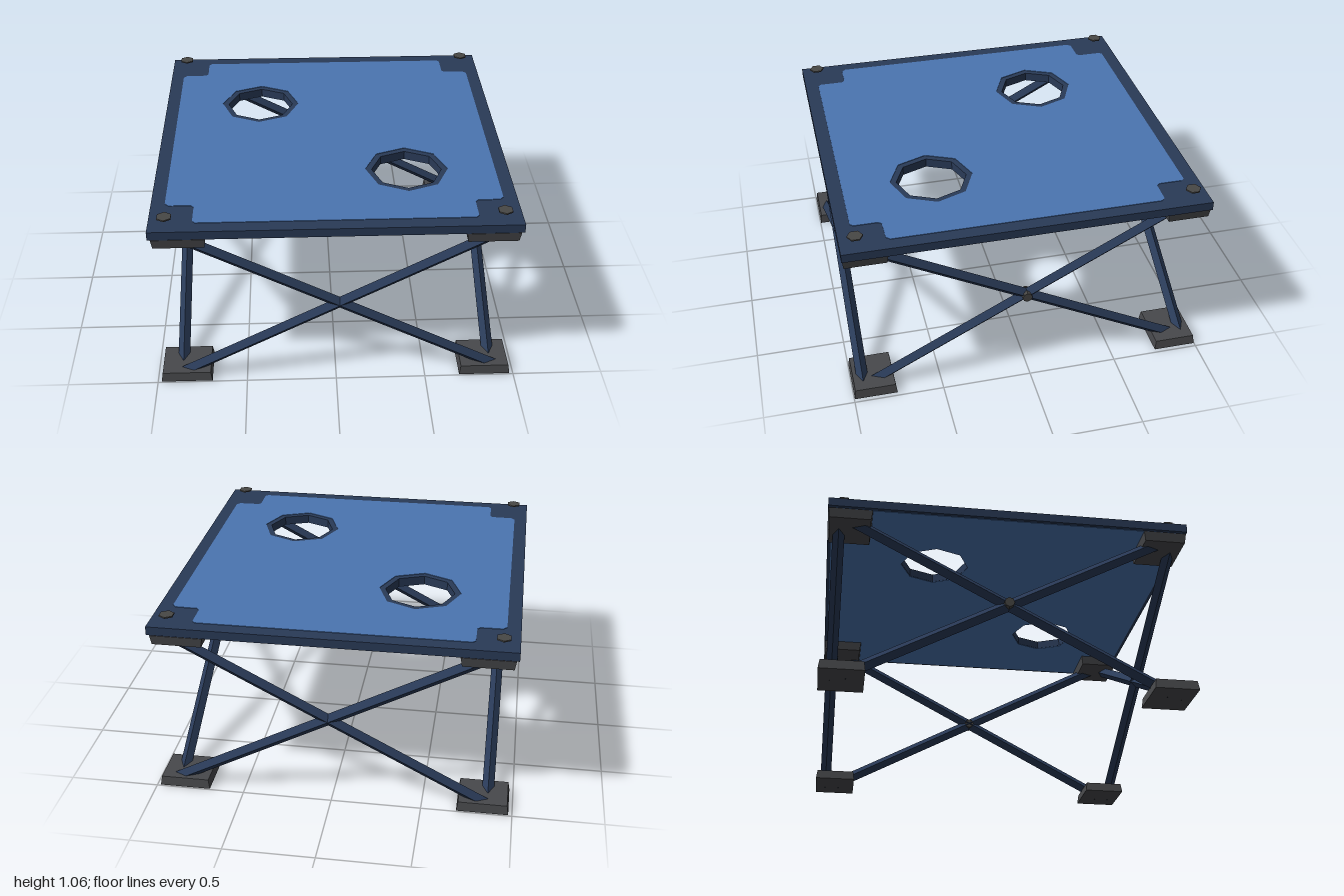
import * as THREE from 'three';

const mat = (name, color) => {
  const m = new THREE.MeshStandardMaterial({ color });
  m.name = name;
  return m;
};

// Hard facet normals
function flat(geo) {
  const g = geo.index ? geo.toNonIndexed() : geo;
  g.computeVertexNormals();
  return g;
}

const HOLES = [[-0.41, -0.368], [0.412, 0.428]];

const rect = (x, z) => [[-x, -z], [x, -z], [x, z], [-x, z]];

// Horizontal plate with octagonal cup holes; shape y becomes z
function plate(points, holeRadius, top, thickness) {
  const shape = new THREE.Shape(points.map(([x, z]) => new THREE.Vector2(x, z)));
  for (const [hx, hz] of HOLES) {
    const ring = [];
    for (let i = 0; i < 8; i++) {
      const a = -i * Math.PI / 4 + 0.03;
      ring.push(new THREE.Vector2(hx + holeRadius * Math.cos(a), hz + holeRadius * Math.sin(a)));
    }
    shape.holes.push(new THREE.Path(ring));
  }
  const g = new THREE.ExtrudeGeometry(shape, { depth: thickness, bevelEnabled: false });
  g.rotateX(Math.PI / 2).translate(0, top, 0);
  return flat(g);
}

// Square block whose top and bottom differ in size
function pad(topScale, bottomScale) {
  const g = new THREE.CylinderGeometry(topScale * Math.SQRT1_2, bottomScale * Math.SQRT1_2, 0.054, 4);
  g.rotateY(Math.PI / 4).scale(0.285, 1, 0.24);
  return flat(g);
}

export function createModel() {
  const group = new THREE.Group();
  const blue = mat('blue fabric', 0x4b75b1);
  const navy = mat('navy frame', 0x293a57);
  const grey = mat('dark grey plastic', 0x48494c);
  const bronze = mat('dull metal', 0x484745);

  const add = (name, geo, material, x = 0, y = 0, z = 0) => {
    const m = new THREE.Mesh(geo, material);
    m.name = name;
    m.position.set(x, y, z);
    group.add(m);
    return m;
  };

  // Table top and the fabric seen from underneath
  add('tableTop', plate(rect(0.98, 1), 0.195, 1.028, 0.049), navy);
  add('fabricUnderside', plate(rect(0.96, 0.98), 0.197, 0.981, 0.005), blue);

  // Inset fabric panel with notched corners, one corner mirrored four ways
  const corner = [[0.905, 0.735], [0.885, 0.756], [0.765, 0.758], [0.75, 0.775], [0.75, 0.905], [0.735, 0.922]];
  const outline = [];
  for (const [sx, sz] of [[1, 1], [-1, 1], [-1, -1], [1, -1]]) {
    const pts = corner.map(([x, z]) => [x * sx, z * sz]);
    outline.push(...(sx * sz > 0 ? pts : pts.reverse()));
  }
  add('fabricPanel', plate(outline, 0.23, 1.031, 0.005), blue);

  // Corner caps, top brackets and feet
  const cap = flat(new THREE.CylinderGeometry(0.042, 0.042, 0.008, 6));
  const bracket = pad(1, 0.94);
  const foot = pad(0.94, 1);
  for (const sx of [-1, 1]) {
    for (const sz of [-1, 1]) {
      add('cornerCap', cap, bronze, sx * 0.889 - 0.004, 1.065, sz * 0.915 - 0.002);
      add('topBracket', bracket, grey, sx * 0.822, 0.948, sz * 0.877);
      add('foot', foot, grey, sx * 0.837, 0.039, sz * 0.877);
    }
  }

  // Crossed legs: square tubes standing on edge
  const rise = 0.462;
  const run = 0.87;
  const bar = flat(new THREE.CylinderGeometry(0.033, 0.033, 2 * Math.hypot(rise, run), 4));
  const tilt = Math.atan2(run, rise);
  for (const s of [-1, 1]) {
    for (const d of [-1, 1]) {
      add(s > 0 ? 'frontLeg' : 'backLeg', bar, navy, 0.02, 0.5, s * 0.937).rotation.z = d * tilt;
      add(s > 0 ? 'leftLeg' : 'rightLeg', bar, navy, s * 0.867 + 0.006, 0.5, 0).rotation.x = d * tilt;
    }
  }

  // Pivot bolts on the side crossings
  const bolt = flat(new THREE.CylinderGeometry(0.028, 0.028, 0.07, 8).rotateZ(Math.PI / 2));
  for (const s of [-1, 1]) add('pivotBolt', bolt, bronze, s * 0.876 + 0.003, 0.5, 0);

  return group;
}
